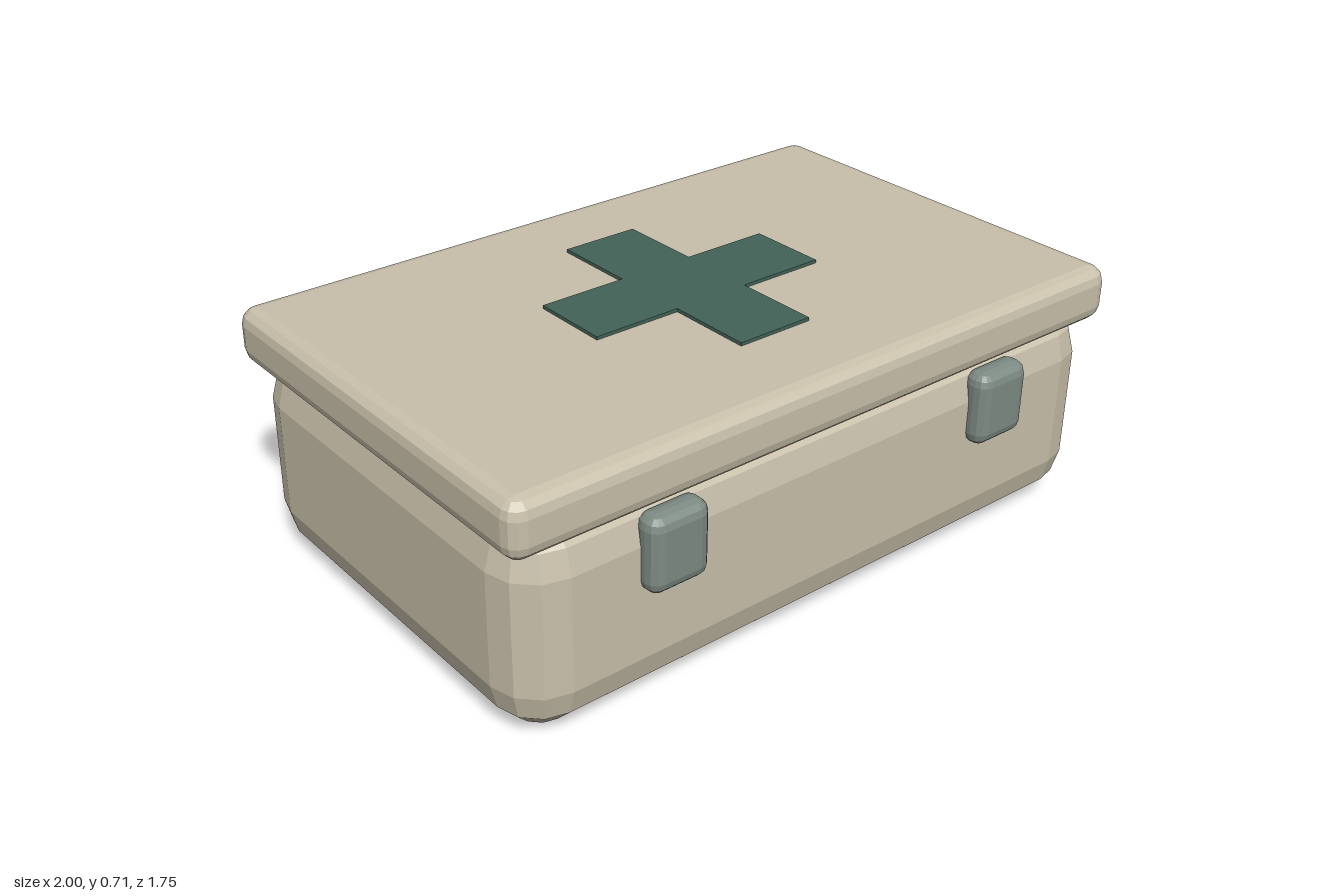
import * as THREE from 'three';

// Box with faceted round edges: a lathe grid whose rings become rounded rectangles
function bevelledBox(w, h, d, r, n) {
  const profile = [[0, -h / 2]];
  for (const side of [-1, 1]) {
    for (let j = 0; j <= n; j++) {
      const a = (Math.PI / 2) * (side < 0 ? 1 - j / n : j / n);
      profile.push([r * Math.cos(a), side * (h / 2 - r + r * Math.sin(a))]);
    }
  }
  profile.push([0, h / 2]);
  const rows = profile.length, segs = 4 * (n + 1);
  const grid = new THREE.LatheGeometry(profile.map(([, y]) => new THREE.Vector2(1, y)), segs);
  const pos = grid.attributes.position;
  for (let i = 0; i <= segs; i++) {
    const k = Math.floor((i % segs) / (n + 1)), m = i % (n + 1);
    const phi = (Math.PI / 2) * (k + m / n);
    const sx = k < 2 ? 1 : -1, sz = k === 0 || k === 3 ? 1 : -1;
    for (let j = 0; j < rows; j++) {
      const [rad, y] = profile[j];
      const centre = j === 0 || j === rows - 1;
      pos.setXYZ(
        i * rows + j,
        centre ? 0 : sx * (w / 2 - r) + rad * Math.sin(phi),
        y,
        centre ? 0 : sz * (d / 2 - r) + rad * Math.cos(phi)
      );
    }
  }
  const flat = grid.toNonIndexed();
  flat.computeVertexNormals();
  return flat;
}

export function createModel() {
  const model = new THREE.Group();
  model.name = 'firstAidCase';
  const shell = new THREE.MeshStandardMaterial({ color: 0xc9c0ab });
  shell.name = 'beigeShell';
  const fittings = new THREE.MeshStandardMaterial({ color: 0x7d8b83 });
  fittings.name = 'greyGreenFittings';
  const green = new THREE.MeshStandardMaterial({ color: 0x436358 });
  green.name = 'darkGreen';

  const add = (name, geometry, material, x, y, z) => {
    const mesh = new THREE.Mesh(geometry, material);
    mesh.name = name;
    mesh.position.set(x, y, z);
    model.add(mesh);
    return mesh;
  };

  // Case body and overhanging lid
  add('body', bevelledBox(1.96, 0.6, 1.24, 0.14, 3), shell, 0, 0.3, 0.205);
  add('lid', bevelledBox(2, 0.16, 1.265, 0.045, 3), shell, 0, 0.625, 0.198);

  // Front latches
  for (const side of [-1, 1]) {
    add(side > 0 ? 'leftLatch' : 'rightLatch',
      bevelledBox(0.18, 0.212, 0.085, 0.035, 3), fittings, side * 0.553, 0.438, 0.83);
  }

  // Carrying handle, mirrored about x = 0
  const half = [[0.353, -0.38], [0.366, -0.5], [0.382, -0.6], [0.366, -0.672], [0.29, -0.737], [0.19, -0.79]];
  const path = [
    ...half.map(([x, z]) => new THREE.Vector3(-x, 0, z)),
    new THREE.Vector3(0, 0, -0.836),
    ...half.map(([x, z]) => new THREE.Vector3(x, 0, z)).reverse(),
  ];
  add('handle', new THREE.TubeGeometry(new THREE.CatmullRomCurve3(path), 40, 0.038, 12), fittings, 0, 0.287, 0);

  // Thin cross plate on the lid
  const a = 0.116, lx = 0.378, lz = 0.366;
  const outline = [[a, lz], [-a, lz], [-a, a], [-lx, a], [-lx, -a], [-a, -a],
    [-a, -lz], [a, -lz], [a, -a], [lx, -a], [lx, a], [a, a]];
  const shape = new THREE.Shape(outline.map(([x, y]) => new THREE.Vector2(x, y)));
  const cross = add('lidCross', new THREE.ExtrudeGeometry(shape, { depth: 0.0095, bevelEnabled: false }),
    green, 0, 0.705, 0.198);
  cross.rotation.x = -Math.PI / 2;

  return model;
}
